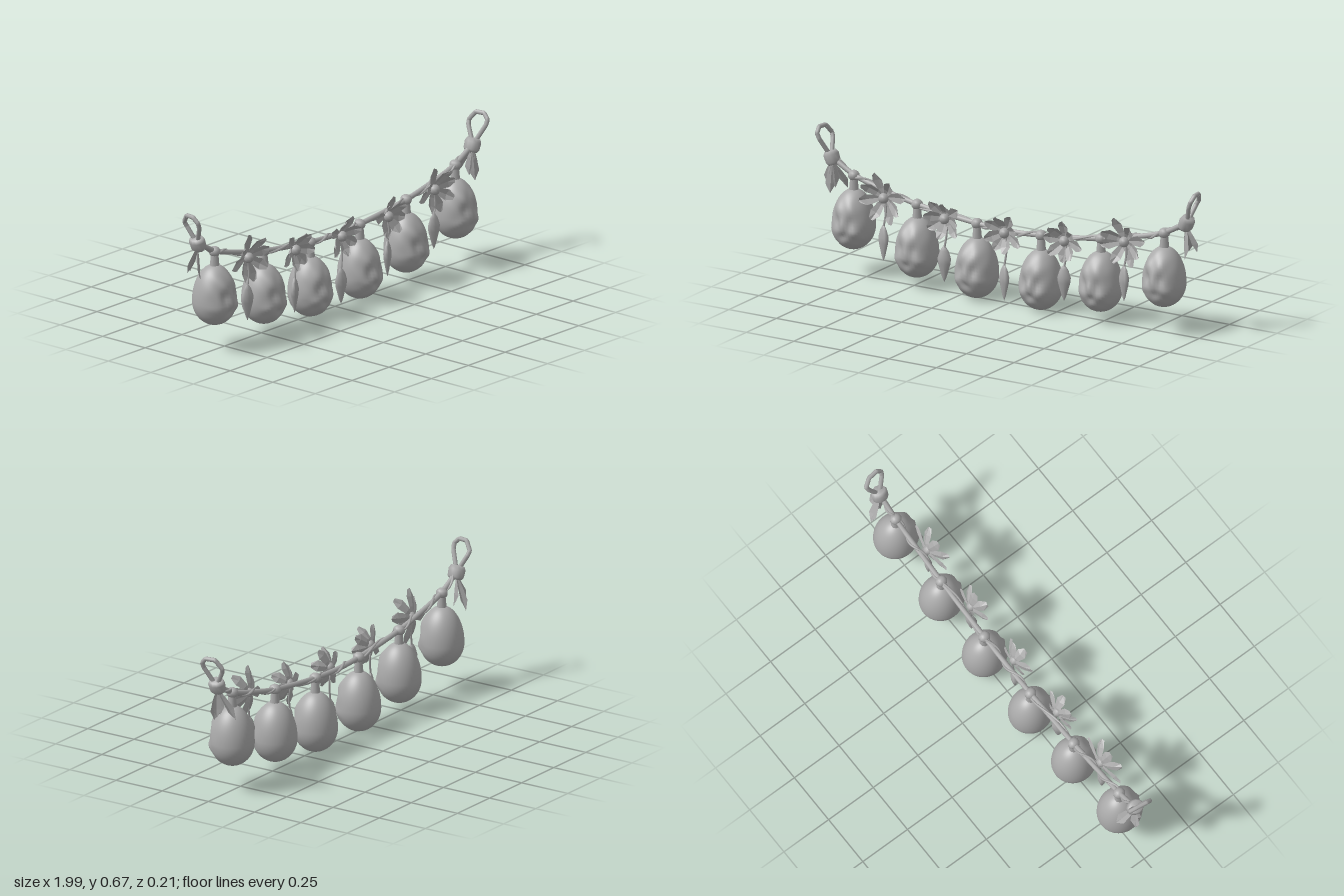
import * as THREE from 'three';
import { mergeVertices } from 'three/addons/utils/BufferGeometryUtils.js';

const V = (x, y, z) => new THREE.Vector3(x, y, z);

export function createModel() {
  const root = new THREE.Group();
  const grey = new THREE.MeshStandardMaterial({ color: 0xaaaaaa, side: THREE.DoubleSide });
  grey.name = 'plain grey';

  const add = (parent, name, geometry, x = 0, y = 0, z = 0) => {
    const mesh = new THREE.Mesh(geometry, grey);
    mesh.name = name;
    mesh.position.set(x, y, z);
    parent.add(mesh);
    return mesh;
  };
  const group = (name, x, y, z) => {
    const g = new THREE.Group();
    g.name = name;
    g.position.set(x, y, z);
    root.add(g);
    return g;
  };
  const tube = (points, radius, steps, sides = 7, closed = false) =>
    new THREE.TubeGeometry(new THREE.CatmullRomCurve3(points, closed), steps, radius, sides, closed);

  // Folded leaf along +y: rows of [position, half width, forward lift]
  function leafGeometry(length, halfWidth, fold, bend, blunt = 0) {
    const rows = [[0, 0.18], [0.35, 0.7], [0.7, 1], [1, blunt]];
    const pos = [], index = [];
    rows.forEach(([t, w], i) => {
      const z = bend * t * t;
      pos.push(-w * halfWidth, t * length * (blunt && i === 3 ? 0.93 : 1), z + fold * w);
      pos.push(0, t * length, z);
      pos.push(w * halfWidth, t * length * (blunt && i === 3 ? 0.93 : 1), z + fold * w);
      if (i === 0) return;
      for (let k = 0; k < 2; k++) {
        const a = (i - 1) * 3 + k, b = a + 3;
        index.push(a, a + 1, b + 1, a, b + 1, b);
      }
    });
    let g = new THREE.BufferGeometry();
    g.setAttribute('position', new THREE.Float32BufferAttribute(pos, 3));
    g.setIndex(index);
    g = g.toNonIndexed();
    g.computeVertexNormals();
    return g;
  }

  // Egg with a carved face: [x, y, spread, depth] bumps on the front
  const bumps = [
    [-0.36, 0.22, 0.17, -0.013], [0.36, 0.22, 0.17, -0.013],
    [-0.34, 0.52, 0.2, 0.007], [0.34, 0.52, 0.2, 0.007],
    [0, 0.08, 0.16, 0.009], [0, -0.3, 0.2, -0.009], [0, -0.14, 0.1, 0.004],
    [-0.52, -0.14, 0.2, 0.006], [0.52, -0.14, 0.2, 0.006], [0, -0.55, 0.18, 0.004],
  ];
  function eggGeometry(seed) {
    let g = new THREE.SphereGeometry(1, 48, 36);
    g.deleteAttribute('uv');
    g.deleteAttribute('normal');
    g = mergeVertices(g, 1e-4);
    const p = g.attributes.position;
    for (let i = 0; i < p.count; i++) {
      const n = V(0, 0, 0).fromBufferAttribute(p, i);
      let d = 0;
      if (n.z > 0) {
        for (const [x, y, s, a] of bumps) {
          d += a * Math.exp(-((n.x - x) ** 2 + (n.y - y) ** 2) / (s * s));
        }
        d += 0.0022 * n.z * Math.sin(9 * n.x + seed) * Math.sin(11 * n.y + seed * 2);
        d *= Math.min(1, n.z * 3);
      }
      p.setXYZ(i, n.x * (0.098 + d), n.y * ((n.y > 0 ? 0.17 : 0.11) + d * 0.5), n.z * (0.102 + d));
    }
    g.computeVertexNormals();
    return g;
  }

  // Sagging cord with a thinner vine winding round it
  const sag = [[-0.94, 0.53], [-0.81, 0.46], [-0.65, 0.415], [-0.485, 0.38], [-0.17, 0.343], [0, 0.335]];
  const cordPoints = [...sag, ...sag.slice(0, -1).reverse().map(([x, y]) => [-x, y])].map(([x, y]) => V(x, y, 0));
  const cord = new THREE.CatmullRomCurve3(cordPoints);
  add(root, 'cord', new THREE.TubeGeometry(cord, 70, 0.012, 8));
  const vine = [];
  for (let i = 0; i <= 60; i++) {
    const p = cord.getPoint(i / 60), a = i * 0.95;
    vine.push(V(p.x, p.y + 0.012 * Math.sin(a), p.z + 0.014 * Math.cos(a)));
  }
  add(root, 'vine', tube(vine, 0.006, 180, 5));

  // Six eggs, each hung from a knot
  [[-0.818, 0.12, 0.46], [-0.485, 0.043, 0.38], [-0.17, 0, 0.343],
    [0.167, 0, 0.343], [0.482, 0.043, 0.38], [0.815, 0.12, 0.46]].forEach(([x, bottom, top], i) => {
    const g = group('egg' + (i + 1), x, bottom + 0.11, 0);
    add(g, 'eggBody', eggGeometry(i * 1.7));
    const knotY = top - bottom - 0.11;
    add(g, 'eggKnot', new THREE.SphereGeometry(0.027, 10, 7), 0, knotY, 0).scale.set(0.95, 0.9, 1.05);
    add(g, 'eggStem', new THREE.CylinderGeometry(0.016, 0.024, knotY - 0.145, 9), 0, (knotY + 0.145) / 2, 0);
  });

  // Five flowers with a hanging pod below each
  const podProfile = [[0, 0], [0.011, 0.025], [0.028, 0.085], [0.031, 0.11], [0.02, 0.145], [0.007, 0.165], [0, 0.168]]
    .map(([r, y]) => new THREE.Vector2(r, y));
  [[-0.635, 0.395, 0.125, 0.1], [-0.315, 0.352, 0.1, 0.055], [0, 0.338, 0.1, 0.02],
    [0.315, 0.352, 0.1, 0.07], [0.63, 0.4, 0.12, 0.12]].forEach(([x, y, size, podBottom], f) => {
    const g = group('flower' + (f + 1), x, y, 0.03);
    const head = new THREE.Group();
    head.name = 'flowerHead';
    head.rotation.x = 0.12;
    g.add(head);
    for (let i = 0; i < 8; i++) {
      const long = size * (i % 2 ? 0.9 : 1.02);
      const petal = add(head, 'petal', leafGeometry(long, 0.026, 0.008, i % 2 ? 0.048 : 0.025, 0.45));
      petal.rotation.z = i * Math.PI / 4 + 0.25 + f * 0.4 + 0.08 * Math.sin(i * 5 + f);
    }
    add(head, 'flowerCentre', new THREE.SphereGeometry(0.024, 10, 7), 0, 0, 0.012);
    const podTop = podBottom + 0.165 - y;
    add(g, 'podStem', tube([V(0, 0, 0), V(0.008, podTop / 2, 0.005), V(-0.003, podTop - 0.01, 0.008)], 0.005, 8, 5));
    const pod = add(g, 'pod', new THREE.LatheGeometry(podProfile, 8), -0.003, podBottom - y, 0.008);
    pod.scale.z = 0.55;
    pod.rotation.y = f % 2 ? 0.35 : -0.35;
  });

  // Mirrored ends: knot, hanging loop and a cluster of leaves
  for (const side of [-1, 1]) {
    const g = group(side < 0 ? 'rightEnd' : 'leftEnd', side * 0.932, 0.525, 0);
    const knotShape = [[0, -0.033], [0.028, -0.032], [0.038, -0.02], [0.04, 0.014], [0.032, 0.03], [0, 0.032]]
      .map(([r, y]) => new THREE.Vector2(r, y));
    const knot = add(g, 'endKnot', new THREE.LatheGeometry(knotShape, 12));
    knot.scale.x = 0.85;
    knot.rotation.z = -side * 0.35;

    // Angular cord loop leaning outward
    const loop = new THREE.CurvePath();
    const corners = [[0.008, 0.015, 0.008], [0.034, 0.09, 0.044], [0.044, 0.115, 0.046], [0.052, 0.139, 0.022],
      [0.052, 0.139, -0.022], [0.04, 0.1, -0.05], [0.03, 0.08, -0.044], [0.008, 0.015, -0.008]]
      .map(([x, y, z]) => V(side * (x + z * 0.14), y, z));
    for (let i = 1; i < corners.length; i++) loop.add(new THREE.LineCurve3(corners[i - 1], corners[i]));
    add(g, 'hangingLoop', new THREE.TubeGeometry(loop, 48, 0.0105, 7));

    // Hanging leaves: length, sideways tilt, forward tilt
    [[0.165, 0.22, -0.42], [0.13, -0.3, -0.2], [0.15, 0.05, 0.2], [0.125, 0.35, 0.3]].forEach(([len, tilt, pitch], i) => {
      const leaf = add(g, 'endLeaf', leafGeometry(len, 0.024, 0.008, 0.012, 0.2), 0, -0.015, 0);
      leaf.rotation.set(Math.PI - pitch, 0.3 * i * side, side * tilt);
    });
  }

  return root;
}
